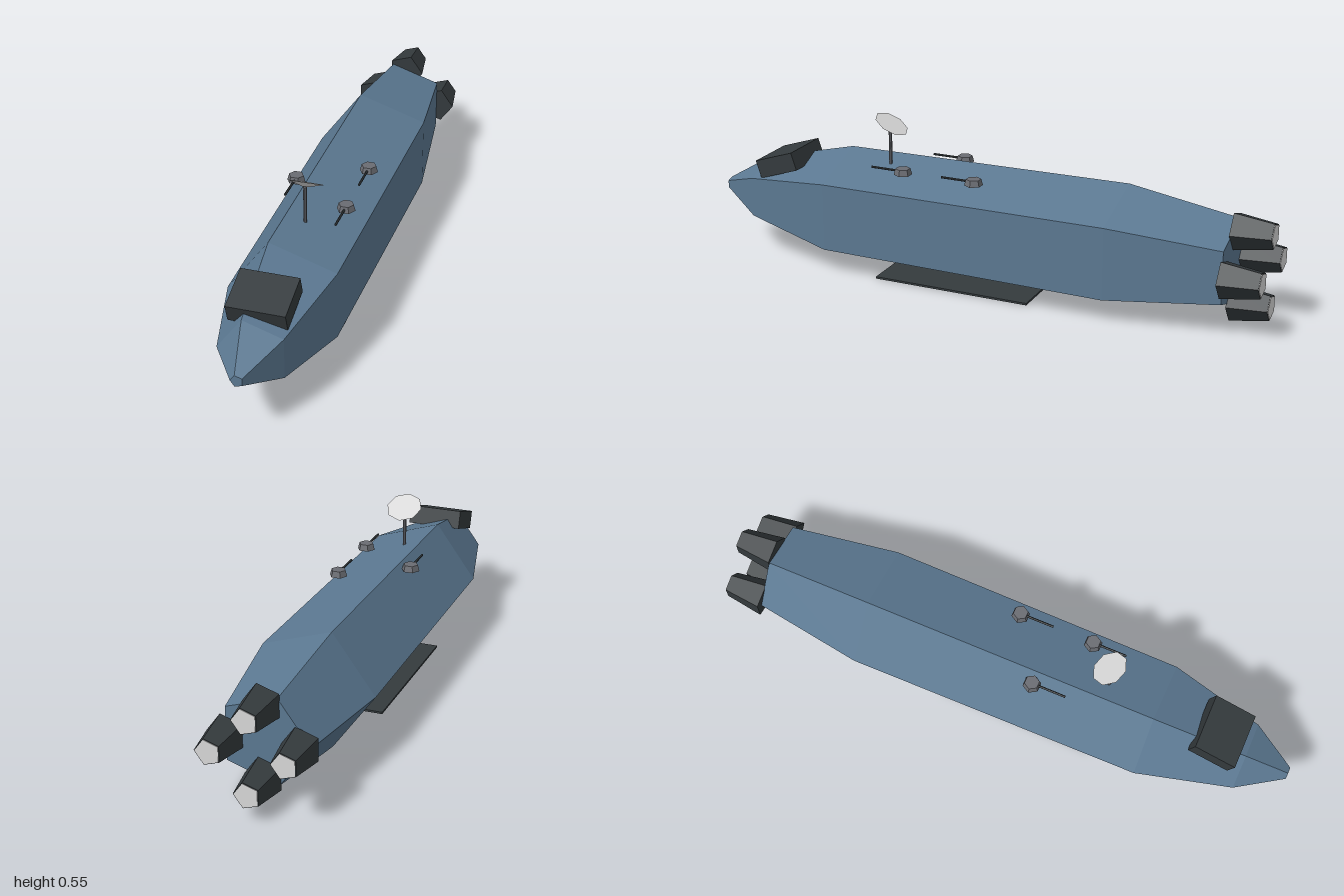
import * as THREE from 'three';

const paint = (name, color, flatShading = true) => {
  const m = new THREE.MeshStandardMaterial({ color, flatShading });
  m.name = name;
  return m;
};

export function createModel() {
  const model = new THREE.Group();
  model.name = 'ship';
  const hullBlue = paint('hullBlue', 0x5b7891);
  const darkMetal = paint('darkMetal', 0x343a3d);
  const gunGrey = paint('gunGrey', 0x6a6c72);
  const paleGrey = paint('paleGrey', 0xd8d8d8, false);

  const add = (name, geometry, material, x, y, z, parent = model) => {
    const mesh = new THREE.Mesh(geometry, material);
    mesh.name = name;
    mesh.position.set(x, y, z);
    parent.add(mesh);
    return mesh;
  };

  const CX = 0.01, CY = 0.207;

  // Five-sided hull lofted through sections: z, radius, centre height
  const sections = [
    [1.0, 0.021, 0.215], [0.85, 0.118, 0.212], [0.53, 0.2, CY],
    [-0.49, 0.209, CY], [-0.87, 0.152, CY],
  ];
  const corner = ([z, r, y], k) => {
    const a = Math.PI + (k * Math.PI * 2) / 5;
    return [CX + r * Math.cos(a), y + r * Math.sin(a), z];
  };
  const pos = [];
  const first = sections[0], last = sections[sections.length - 1];
  for (let k = 0; k < 5; k++) {
    for (let i = 0; i < sections.length - 1; i++) {
      const a = corner(sections[i], k), b = corner(sections[i], k + 1);
      const c = corner(sections[i + 1], k), d = corner(sections[i + 1], k + 1);
      pos.push(...a, ...c, ...b, ...b, ...c, ...d);
    }
    pos.push(CX, first[2], first[0], ...corner(first, k), ...corner(first, k + 1));
    pos.push(CX, last[2], last[0], ...corner(last, k + 1), ...corner(last, k));
  }
  const hull = new THREE.BufferGeometry();
  hull.setAttribute('position', new THREE.Float32BufferAttribute(pos, 3));
  hull.computeVertexNormals();
  add('hull', hull, hullBlue, 0, 0, 0);

  // Sloping bridge block on the bow
  const bridge = add('bridge', new THREE.BoxGeometry(0.19, 0.064, 0.15), darkMetal, CX, 0.342, 0.75);
  bridge.rotation.x = 0.32;

  // Belly plate
  add('bellyPlate', new THREE.BoxGeometry(0.252, 0.007, 0.56), darkMetal, CX, 0.0035, 0.07);

  // Four five-sided engines in a diamond, each with a pale exhaust plate
  const axial = (rBack, rFront, length) =>
    new THREE.CylinderGeometry(rBack, rFront, length, 5, 1, false, Math.PI / 2).rotateX(-Math.PI / 2);
  for (const [dx, dy] of [[-1, 0], [1, 0], [0, 1], [0, -1]]) {
    const engine = new THREE.Group();
    engine.name = 'engine';
    engine.position.set(CX + dx * 0.121, CY + dy * 0.121, 0);
    model.add(engine);
    add('nozzle', axial(0.045, 0.065, 0.13), darkMetal, 0, 0, -0.933, engine);
    add('exhaust', axial(0.042, 0.042, 0.004), paleGrey, 0, 0, -0.998, engine);
  }

  // Gun turrets on the upper deck
  for (const [x, z] of [[-0.095, 0.12], [0.115, 0.25], [0.115, -0.01]]) {
    const turret = new THREE.Group();
    turret.name = 'turret';
    turret.position.set(x, 0.395, z);
    model.add(turret);
    add('turretBase', new THREE.CylinderGeometry(0.025, 0.031, 0.021, 6, 1, false, Math.PI / 2),
      gunGrey, 0, 0, 0, turret);
    add('barrel', new THREE.CylinderGeometry(0.004, 0.004, 0.115, 6).rotateX(Math.PI / 2),
      darkMetal, 0, 0, 0.06, turret);
  }

  // Mast and tilted eight-sided dish
  add('mast', new THREE.CylinderGeometry(0.006, 0.006, 0.135, 8), gunGrey, CX, 0.4375, 0.35);
  const dish = add('dish', new THREE.CylinderGeometry(0.062, 0.01, 0.014, 8), paleGrey, CX, 0.513, 0.348);
  dish.rotation.x = -0.53;

  return model;
}
